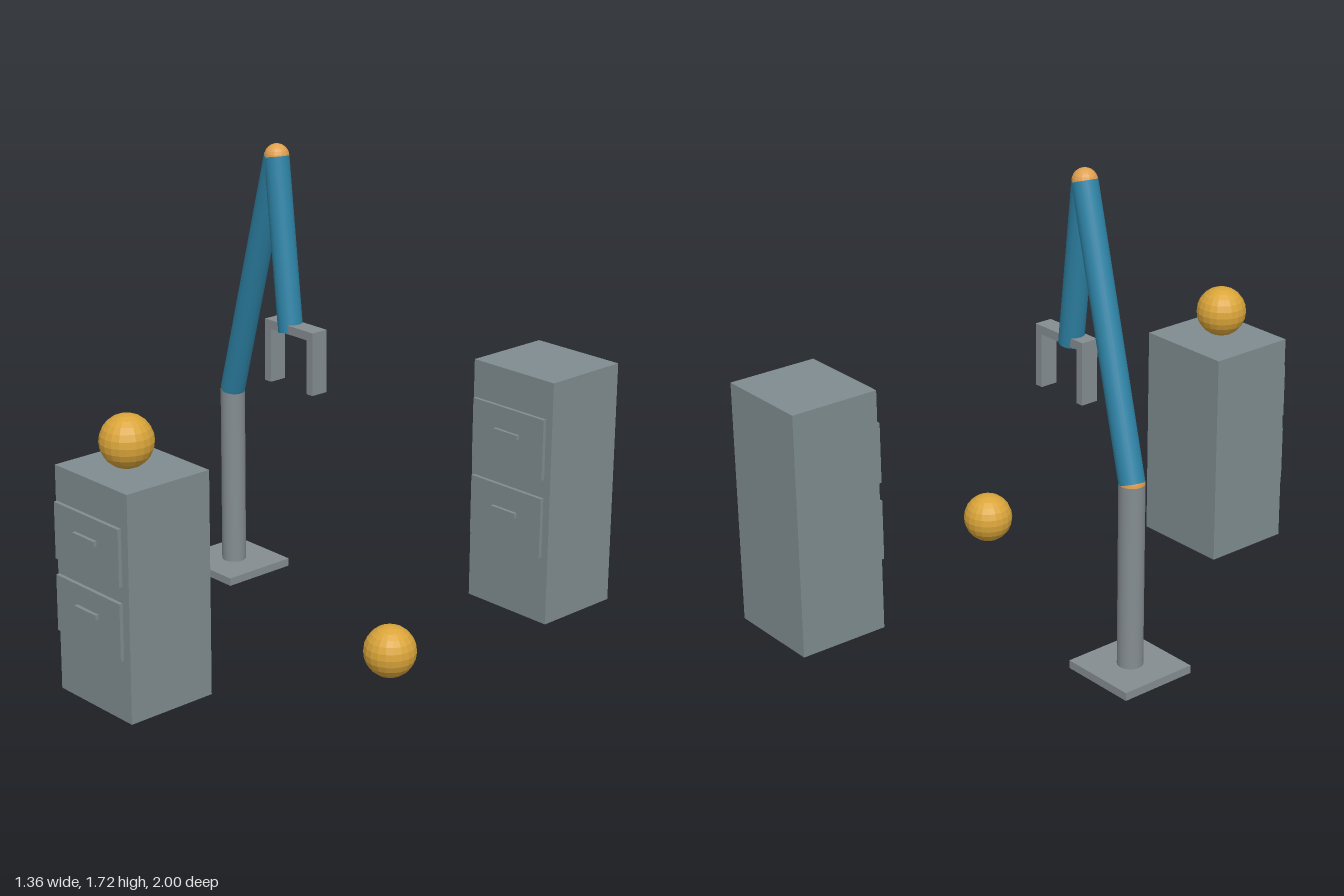
import * as THREE from 'three';

export function createModel() {
  const model = new THREE.Group();
  model.name = 'robotArmScene';

  const paint = (name, color, flat = false) => {
    const m = new THREE.MeshStandardMaterial({ color, flatShading: flat });
    m.name = name;
    return m;
  };
  const cabinetGrey = paint('cabinet grey', 0x7f8c8f);
  const metalGrey = paint('metal grey', 0x858d91);
  const armBlue = paint('arm blue', 0x2e83a6);
  const jointOrange = paint('joint orange', 0xe0a050, true);
  const ballGold = paint('ball gold', 0xdaa53a, true);

  const add = (parent, name, geometry, material, x, y, z) => {
    const mesh = new THREE.Mesh(geometry, material);
    mesh.name = name;
    mesh.position.set(x, y, z);
    parent.add(mesh);
    return mesh;
  };
  const box = (parent, name, material, w, h, d, x, y, z) =>
    add(parent, name, new THREE.BoxGeometry(w, h, d), material, x, y, z);
  const ball = (parent, name, material, r, x, y, z) =>
    add(parent, name, new THREE.SphereGeometry(r, 20, 12), material, x, y, z);

  // A cylinder running between two points
  const limb = (parent, name, material, r, from, to) => {
    const dir = to.clone().sub(from);
    const mid = from.clone().add(to).multiplyScalar(0.5);
    const mesh = add(parent, name, new THREE.CylinderGeometry(r, r, dir.length(), 24),
      material, mid.x, mid.y, mid.z);
    mesh.quaternion.setFromUnitVectors(new THREE.Vector3(0, 1, 0), dir.normalize());
  };

  // Robot arm: base plate, column, two limbs and their joints
  const arm = new THREE.Group();
  arm.name = 'robotArm';
  model.add(arm);
  const foot = new THREE.Vector3(-0.535, 0.03, -0.188);
  const shoulder = new THREE.Vector3(-0.535, 0.715, -0.188);
  const elbow = new THREE.Vector3(-0.196, 1.677, -0.109);
  const wrist = new THREE.Vector3(-0.092, 1.063, -0.081);
  box(arm, 'basePlate', metalGrey, 0.297, 0.03, 0.297, -0.534, 0.015, -0.188);
  limb(arm, 'column', metalGrey, 0.046, foot, shoulder);
  limb(arm, 'upperArm', armBlue, 0.046, shoulder, elbow);
  limb(arm, 'forearm', armBlue, 0.045, elbow, wrist);
  ball(arm, 'shoulderJoint', jointOrange, 0.046, shoulder.x, shoulder.y, shoulder.z);
  ball(arm, 'elbowJoint', jointOrange, 0.045, elbow.x, elbow.y, elbow.z);

  // Gripper: crossbar with a finger at each end
  const gripper = new THREE.Group();
  gripper.name = 'gripper';
  gripper.position.set(-0.065, 0, -0.08);
  arm.add(gripper);
  box(gripper, 'crossbar', metalGrey, 0.25, 0.032, 0.068, 0, 1.08, 0);
  for (const side of [-1, 1]) {
    box(gripper, side < 0 ? 'rightFinger' : 'leftFinger', metalGrey,
      0.031, 0.2, 0.068, side * 0.1095, 0.965, 0);
  }

  // Cabinets with two floating drawer fronts and handles
  const cabinet = (name, height, x, z, drawerHeight, drawers) => {
    const g = new THREE.Group();
    g.name = name;
    g.position.set(x, 0, z);
    model.add(g);
    box(g, 'cabinetBody', cabinetGrey, 0.382, height, 0.346, 0, height / 2, 0);
    for (const y of drawers) {
      box(g, 'drawerFront', cabinetGrey, 0.341, drawerHeight, 0.014, 0, y, 0.19);
      box(g, 'drawerHandle', cabinetGrey, 0.115, 0.018, 0.014, 0, y + 0.02, 0.203);
    }
  };
  cabinet('frontCabinet', 0.813, 0.0875, 0.79, 0.203, [0.592, 0.331]);
  cabinet('backCabinet', 0.922, 0.46, -0.827, 0.228, [0.671, 0.373]);

  // Loose balls: one on the floor, one on the front cabinet
  ball(model, 'floorBall', ballGold, 0.0935, 0.585, 0.097, 0.071);
  ball(model, 'cabinetBall', ballGold, 0.0935, 0.087, 0.91, 0.808);

  return model;
}
